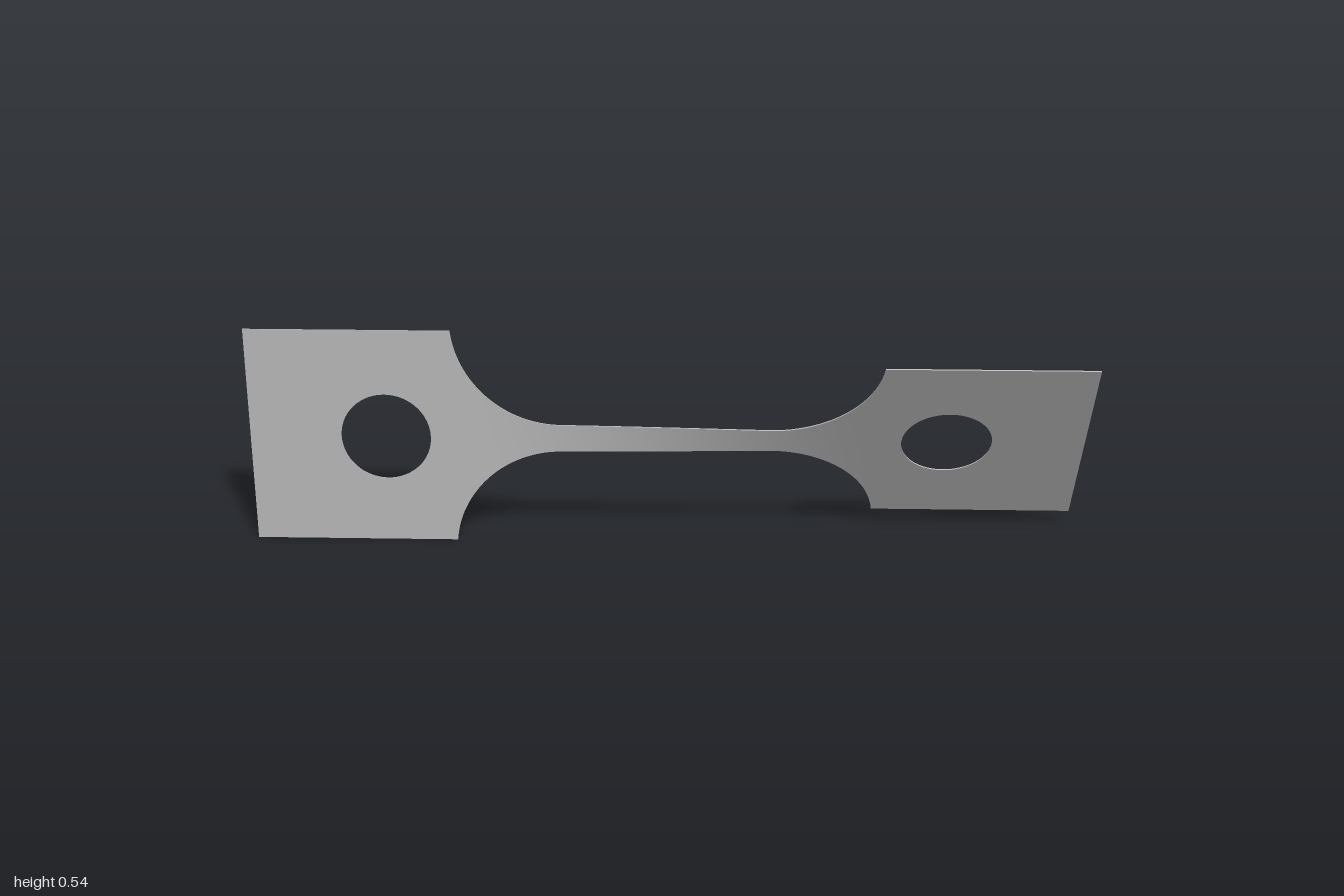
import * as THREE from 'three';

const HALF = 0.27;         // half height of the end plates
const NECK = 0.035;        // half height of the narrow neck
const R = 0.26;            // shoulder fillet radius
const FILLET_X = 0.25;     // where the fillet meets the neck
const SHOULDER = FILLET_X + Math.sqrt(R * R - (NECK + R - HALF) ** 2);
const THICK = 0.003;
const TWIST = Math.PI / 6;

// half height of the strip between the two shoulders
function halfHeight(x) {
  const d = Math.max(0, Math.abs(x) - FILLET_X);
  return NECK + R - Math.sqrt(Math.max(0, R * R - d * d));
}

export function createModel() {
  const model = new THREE.Group();
  const steel = new THREE.MeshStandardMaterial({ color: 0xb8b8b8 });
  steel.name = 'plain grey metal';

  // Flat end plate with a round hole
  const endPlate = (side, angle, name) => {
    const s = new THREE.Shape();
    const x0 = side < 0 ? -1 : SHOULDER;
    const x1 = side < 0 ? -SHOULDER : 1;
    s.moveTo(x0, -HALF);
    s.lineTo(x1, -HALF);
    s.lineTo(x1, HALF);
    s.lineTo(x0, HALF);
    s.closePath();
    const hole = new THREE.Path();
    hole.absarc(side * 0.672, 0, 0.108, 0, Math.PI * 2, true);
    s.holes.push(hole);
    const geo = new THREE.ExtrudeGeometry(s, { depth: THICK, bevelEnabled: false, curveSegments: 32 });
    geo.translate(0, 0, -THICK / 2);
    const mesh = new THREE.Mesh(geo, steel);
    mesh.name = name;
    mesh.rotation.x = angle;
    mesh.position.y = HALF;
    model.add(mesh);
  };
  endPlate(-1, 0, 'rightEndPlate');
  endPlate(1, TWIST, 'leftEndPlate');

  // Twisted neck with curved shoulders; columns crowd towards the steep ends
  const geo = new THREE.BoxGeometry(2, 2, THICK, 128, 6, 1);
  const p = geo.attributes.position;
  for (let i = 0; i < p.count; i++) {
    const x = SHOULDER * Math.sin(p.getX(i) * Math.PI / 2);
    const y = p.getY(i) * halfHeight(x);
    const z = p.getZ(i);
    const a = TWIST * THREE.MathUtils.smoothstep(x, -SHOULDER, SHOULDER);
    p.setXYZ(i, x, y * Math.cos(a) - z * Math.sin(a), y * Math.sin(a) + z * Math.cos(a));
  }
  geo.computeVertexNormals();
  const neck = new THREE.Mesh(geo, steel);
  neck.name = 'twistedNeck';
  neck.position.y = HALF;
  model.add(neck);

  return model;
}
